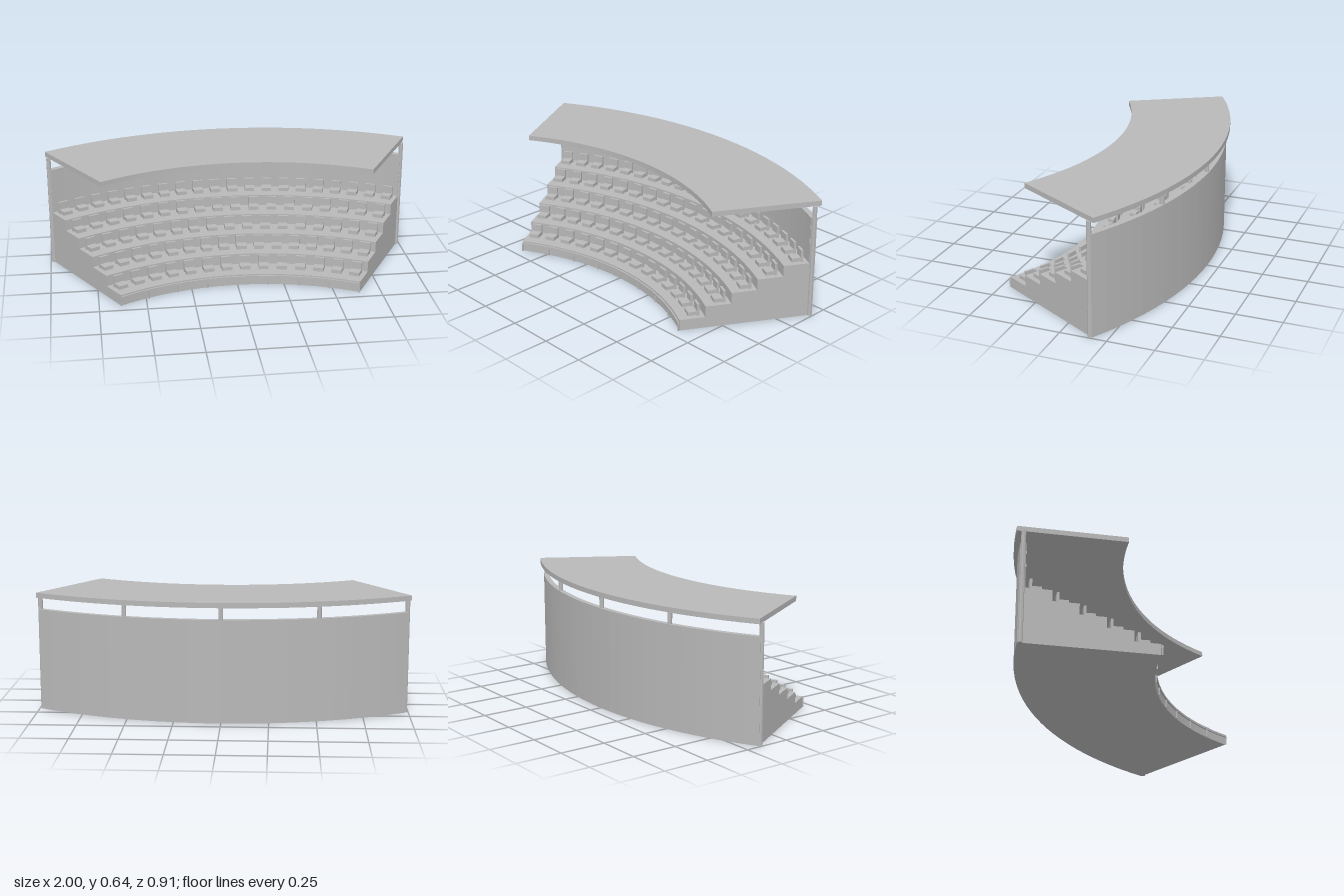
import * as THREE from 'three';
import { mergeGeometries } from 'three/addons/utils/BufferGeometryUtils.js';

const HALF = Math.PI / 6;   // half of the 60 degree arc
const CENTRE_Z = 1.545;     // axis of the curve
const SEGMENTS = 24;
const ROWS = 5, INNER = 1.27, DEPTH = 0.136, RISE = 0.06;

// Sweep a closed counter-clockwise (radius, height) profile along the arc and cap both ends
function sweep(profile, half = HALF) {
  const pts = profile.map(([r, y]) => new THREE.Vector2(r, y));
  const start = Math.PI - half;
  const body = new THREE.LatheGeometry([...pts, pts[0].clone()], SEGMENTS, start, 2 * half);
  const capA = new THREE.ShapeGeometry(new THREE.Shape(pts));
  const capB = capA.clone();
  const index = capB.index.array;
  for (let i = 0; i < index.length; i += 3) [index[i], index[i + 1]] = [index[i + 1], index[i]];
  capA.rotateY(start - Math.PI / 2);
  capB.rotateY(start + 2 * half - Math.PI / 2);
  return mergeGeometries([body, capA, capB]);
}

const band = (r0, r1, y0, y1) => sweep([[r0, y0], [r1, y0], [r1, y1], [r0, y1]]);

export function createModel() {
  const model = new THREE.Group();
  model.name = 'curvedGrandstand';
  const grey = new THREE.MeshStandardMaterial({ color: 0xb8b8b8, flatShading: true });
  grey.name = 'concreteGrey';

  const arc = new THREE.Group();
  arc.name = 'stand';
  arc.position.z = CENTRE_Z;
  model.add(arc);

  const add = (name, geometry, parent = arc) => {
    const mesh = new THREE.Mesh(geometry, grey);
    mesh.name = name;
    parent.add(mesh);
    return mesh;
  };
  // Place an object on the arc, facing the axis
  const place = (object, r, angle, y = 0) => {
    object.position.set(r * Math.sin(angle), y, -r * Math.cos(angle));
    object.rotation.y = -angle;
  };

  // Stepped terrace with the tall back wall
  const wallR = INNER + ROWS * DEPTH;
  const profile = [[INNER, 0], [1.98, 0], [1.98, 0.55], [wallR, 0.55]];
  for (let i = ROWS - 1; i >= 0; i--) {
    const y = (i + 1) * RISE;
    profile.push([INNER + (i + 1) * DEPTH, y], [INNER + i * DEPTH, y]);
  }
  add('terraceAndBackWall', sweep(profile));

  // Roof and its posts
  add('roof', band(1.43, 2, 0.616, 0.643));
  for (let i = -2; i <= 2; i++) {
    const end = Math.abs(i) === 2;
    const bottom = end ? 0 : 0.54;
    const post = add('roofPost', new THREE.CylinderGeometry(0.0125, 0.0125, 0.618 - bottom, 8));
    place(post, 1.965, i * HALF / 2, (0.618 + bottom) / 2);
  }

  // Small brackets at the ends of the back wall
  for (const side of [-1, 1]) {
    for (const y of [0.422, 0.498]) {
      place(add('wallBracket', new THREE.BoxGeometry(0.01, 0.018, 0.01)), wallR, side * HALF * 0.995, y);
    }
  }

  // Low rail along the front edge
  add('frontRail', band(1.259, 1.267, 0.042, 0.054));
  for (let i = -4; i <= 4; i++) {
    const post = add('railPost', new THREE.CylinderGeometry(0.004, 0.004, 0.046, 6));
    place(post, 1.264, i * HALF / 4, 0.023);
  }

  // Rows of seats, wider rows holding more
  const cushion = new THREE.BoxGeometry(0.055, 0.02, 0.048).translate(0, 0.015, 0.018);
  const back = new THREE.BoxGeometry(0.055, 0.065, 0.013).translate(0, 0.0325, -0.0125);
  const seat = mergeGeometries([cushion, back]);
  for (let row = 0; row < ROWS; row++) {
    const group = new THREE.Group();
    group.name = 'seatRow';
    arc.add(group);
    const r = INNER + row * DEPTH + 0.092;
    const count = Math.round((r - 0.012) * 2 * HALF / 0.1);
    for (let i = 0; i < count; i++) {
      const angle = ((i + 0.5) / count * 2 - 1) * HALF;
      place(add('seat', seat, group), r, angle, (row + 1) * RISE);
    }
  }
  return model;
}
